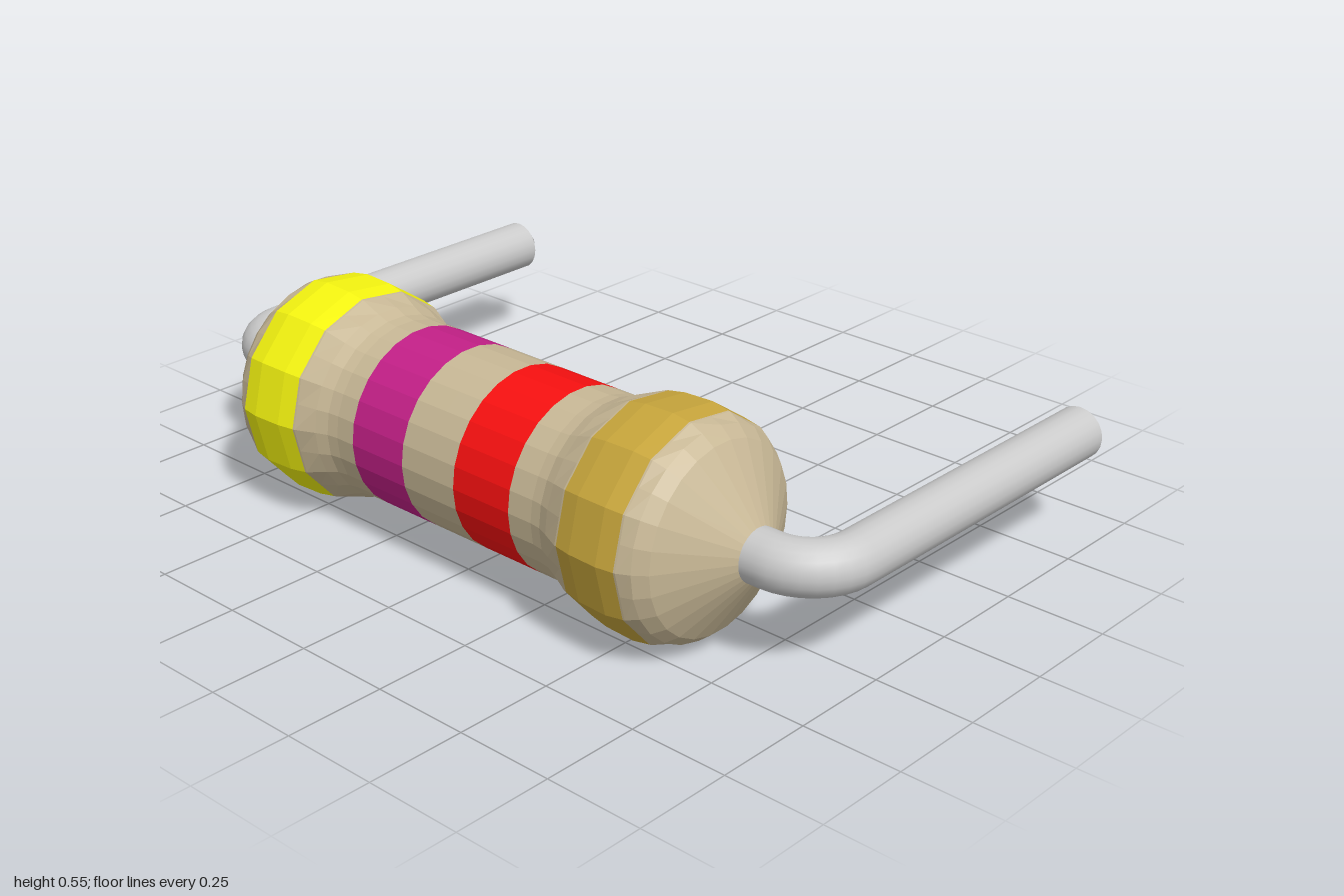
import * as THREE from 'three';

const AXIS_Y = 0.28, AXIS_Z = 0.385, SIDES = 26, WIRE = 0.065;
const TAN = 0xc8b896;

// Half profile of the body: [distance from the middle, radius]
const PROFILE = [[0, 0.225], [0.32, 0.225], [0.35, 0.229], [0.38, 0.241], [0.43, 0.264],
  [0.48, 0.273], [0.56, 0.276], [0.61, 0.268], [0.64, 0.252], [0.67, 0.228], [0.775, WIRE]];

function radiusAt(x) {
  const d = Math.abs(x);
  for (let i = 1; i < PROFILE.length; i++) {
    const [x0, r0] = PROFILE[i - 1], [x1, r1] = PROFILE[i];
    if (d <= x1 + 1e-6) return r0 + (r1 - r0) * (d - x0) / (x1 - x0);
  }
  return WIRE;
}

// Skin of the body between two stations along x
function bodySection(from, to) {
  const inner = PROFILE.flatMap(([d]) => [d, -d]).filter(x => x > from + 1e-4 && x < to - 1e-4);
  const stations = [...new Set([from, ...inner.map(x => x + 0), to])].sort((a, b) => a - b);
  const pos = [], index = [];
  stations.forEach(x => {
    const d = Math.abs(x), coarse = d > 0.42 && d < 0.615;
    for (let j = 0; j < SIDES; j++) {
      // the swollen ends are only half as many-sided
      const r = radiusAt(x) * (coarse && j % 2 ? Math.cos(2 * Math.PI / SIDES) : 1);
      const a = j / SIDES * Math.PI * 2;
      pos.push(x, r * Math.sin(a), r * Math.cos(a));
    }
  });
  for (let i = 0; i < stations.length - 1; i++) {
    for (let j = 0; j < SIDES; j++) {
      const k = (j + 1) % SIDES;
      const a = i * SIDES + j, b = a + SIDES, c = (i + 1) * SIDES + k, d = i * SIDES + k;
      index.push(a, b, c, a, c, d);
    }
  }
  const geo = new THREE.BufferGeometry();
  geo.setAttribute('position', new THREE.Float32BufferAttribute(pos, 3));
  geo.setIndex(index);
  geo.computeVertexNormals();
  return geo;
}

// Bent wire on the +x side, relative to the body axis height
function makeLead(name) {
  const lead = new THREE.Group();
  lead.name = name;
  const mat = new THREE.MeshStandardMaterial({ color: 0xcccccc });
  const bend = 0.125, armX = 0.935, bendX = armX - bend, bendZ = AXIS_Z - bend, endZ = -0.605;
  const add = (part, geo, x, z) => {
    const mesh = new THREE.Mesh(geo, mat);
    mesh.name = part;
    mesh.position.set(x, 0, z);
    lead.add(mesh);
  };
  const stub = bendX - 0.74;
  add('leadStub', new THREE.CylinderGeometry(WIRE, WIRE, stub, 20, 1, true).rotateZ(-Math.PI / 2),
    bendX - stub / 2, AXIS_Z);
  add('leadBend', new THREE.TorusGeometry(bend, WIRE, 20, 8, Math.PI / 2).rotateX(Math.PI / 2),
    bendX, bendZ);
  add('leadArm', new THREE.CylinderGeometry(WIRE, WIRE, bendZ - endZ, 20, 1, true).rotateX(-Math.PI / 2),
    armX, (bendZ + endZ) / 2);
  add('leadTip', new THREE.ConeGeometry(WIRE, 0.06, 20, 1, true).rotateX(-Math.PI / 2),
    armX, endZ - 0.03);
  return lead;
}

export function createModel() {
  const model = new THREE.Group();
  model.name = 'resistor';

  // Body, split into plain lengths and colour bands
  const body = new THREE.Group();
  body.name = 'body';
  body.position.set(0, AXIS_Y, AXIS_Z);
  const sections = [
    ['rightEnd', -0.775, -0.61, TAN], ['yellowBand', -0.61, -0.435, 0xf5f510],
    ['rightNeck', -0.435, -0.265, TAN], ['magentaBand', -0.265, -0.095, 0xc42088],
    ['middle', -0.095, 0.075, TAN], ['redBand', 0.075, 0.25, 0xf81010],
    ['leftNeck', 0.25, 0.435, TAN], ['goldBand', 0.435, 0.605, 0xc8a63c],
    ['leftEnd', 0.605, 0.775, TAN],
  ];
  for (const [name, from, to, color] of sections) {
    const mesh = new THREE.Mesh(bodySection(from, to),
      new THREE.MeshStandardMaterial({ color, flatShading: true }));
    mesh.name = name;
    body.add(mesh);
  }
  model.add(body);

  // Leads: the right one is the left one turned over
  const left = makeLead('leftLead'), right = makeLead('rightLead');
  left.position.y = right.position.y = AXIS_Y;
  right.rotation.z = Math.PI;
  model.add(left, right);
  return model;
}
